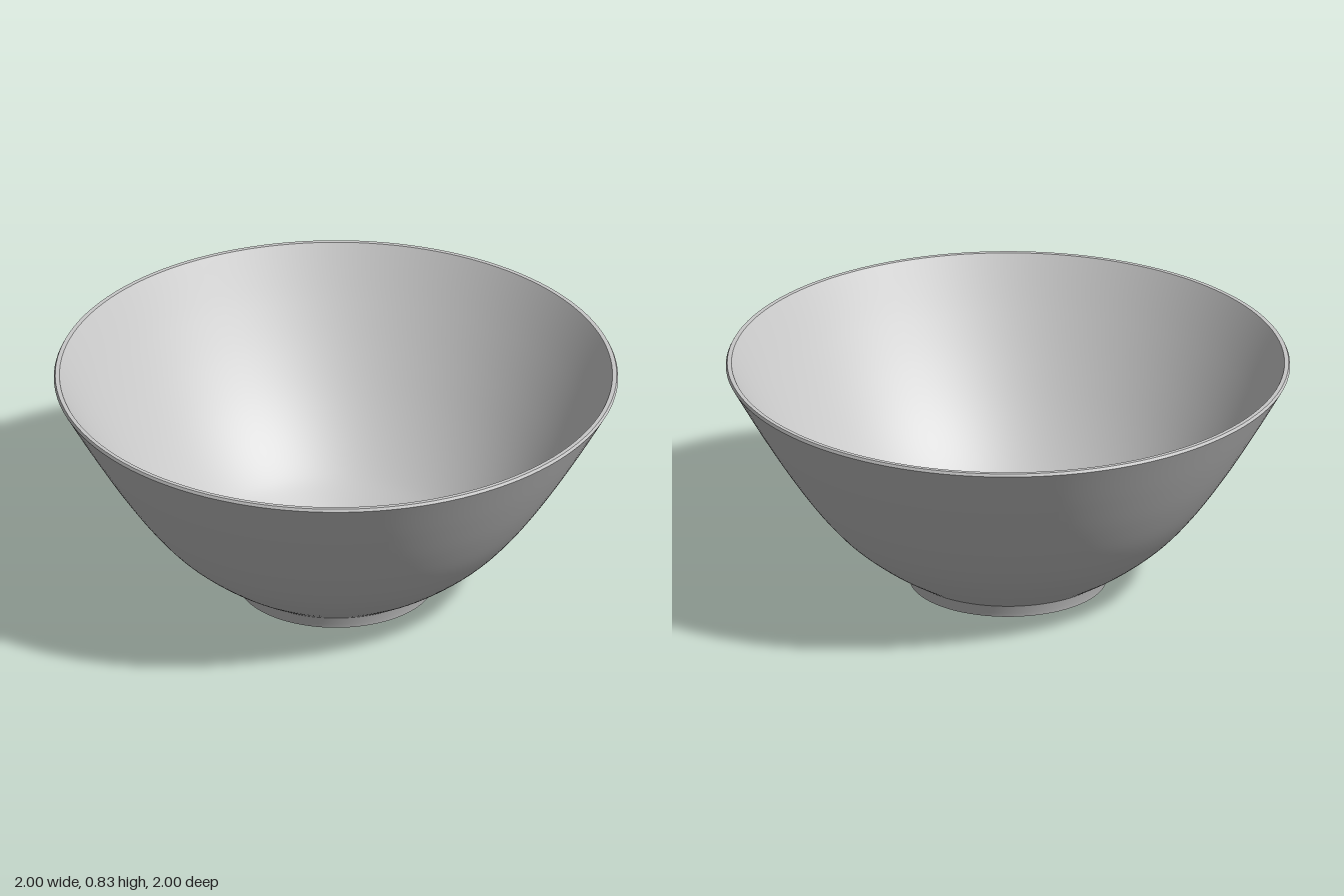
import * as THREE from 'three';

export function createModel() {
  const group = new THREE.Group();
  const ceramic = new THREE.MeshStandardMaterial({ color: 0xc8c8c8 });
  ceramic.name = 'grey ceramic';

  // Each profile is revolved on its own, so creases stay sharp between parts
  const turn = (name, pts, curved = 0) => {
    let points = pts.map(([x, y]) => new THREE.Vector2(x, y));
    if (curved) points = new THREE.SplineCurve(points).getPoints(curved);
    points.forEach(p => { p.x = Math.max(p.x, 0); });
    const mesh = new THREE.Mesh(new THREE.LatheGeometry(points, 128), ceramic);
    mesh.name = name;
    group.add(mesh);
  };

  // Outer wall, flaring from the foot to the rim
  turn('outerWall', [[0.365, 0.047], [0.48, 0.122], [0.6, 0.222], [0.7, 0.338], [0.8, 0.482], [0.9, 0.645], [1, 0.82]], 40);

  // Thin lip with a small chamfer
  turn('rimChamfer', [[1, 0.82], [0.995, 0.83]]);
  turn('rimTop', [[0.995, 0.83], [0.98, 0.83]]);

  // Inner wall and flat floor
  turn('innerWall', [[0.98, 0.83], [0.88, 0.655], [0.78, 0.495], [0.68, 0.355], [0.58, 0.24], [0.48, 0.15], [0.38, 0.088]], 40);
  turn('floor', [[0.38, 0.088], [0, 0.088]]);

  // Foot ring with a shallow domed recess underneath
  turn('footSide', [[0.35, 0], [0.354, 0.016], [0.365, 0.047]]);
  turn('footBase', [[0.282, 0], [0.35, 0]]);
  turn('footRecess', [[0, 0.06], [0.1, 0.056], [0.19, 0.042], [0.25, 0.021], [0.282, 0]], 20);

  return group;
}
